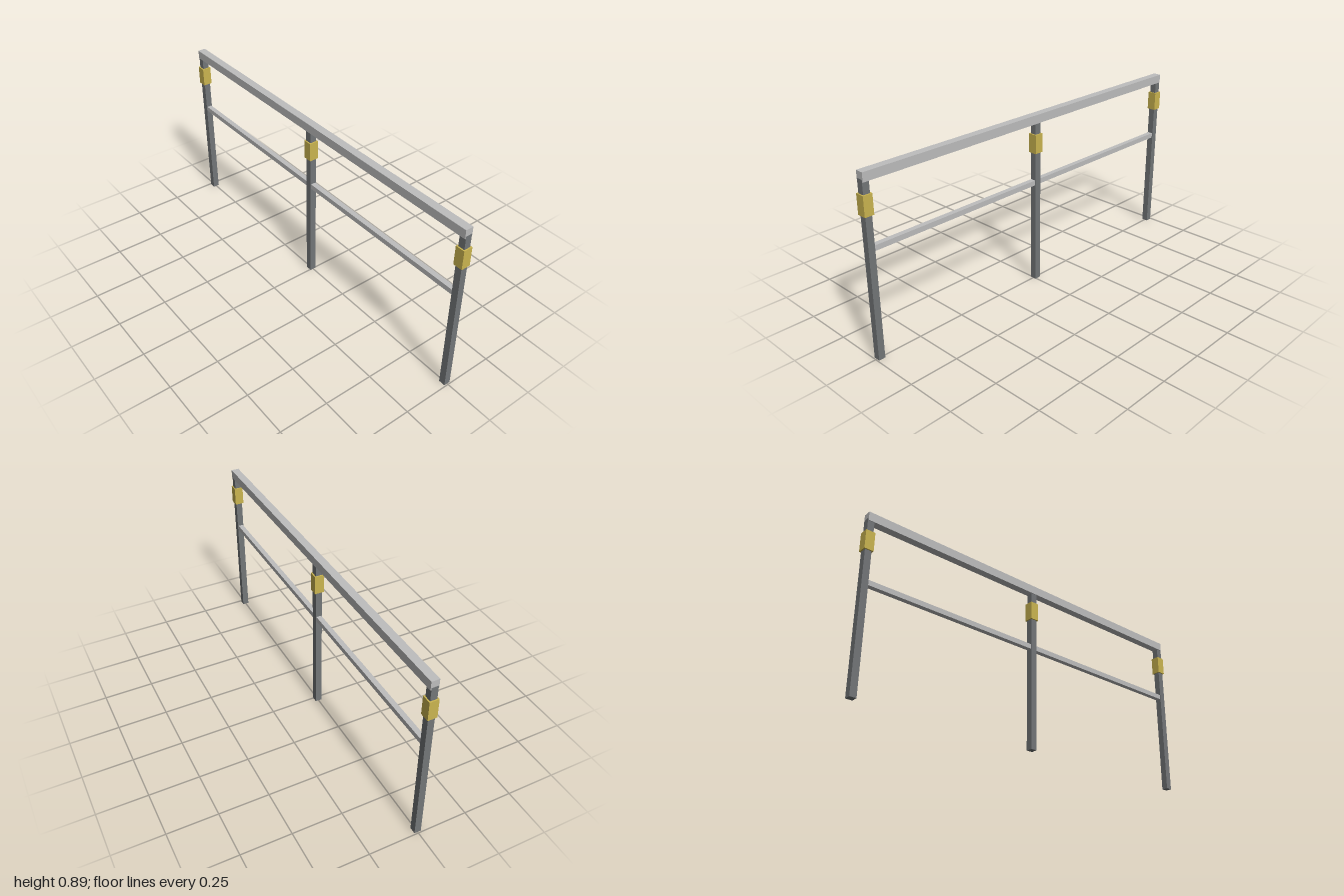
import * as THREE from 'three';

export function createModel() {
  const group = new THREE.Group();
  group.name = 'railing';

  const material = (name, color) => {
    const m = new THREE.MeshStandardMaterial({ color });
    m.name = name;
    return m;
  };
  const lightSteel = material('light steel', 0xbebebe);
  const darkSteel = material('dark steel', 0x737678);
  const yellow = material('yellow', 0xcbb550);

  // Box given by its centre x, bottom and top heights, length in x and depth in z
  const addBox = (name, mat, x, bottom, top, width, depth) => {
    const mesh = new THREE.Mesh(new THREE.BoxGeometry(width, top - bottom, depth), mat);
    mesh.name = name;
    mesh.position.set(x, (bottom + top) / 2, 0);
    group.add(mesh);
  };

  // Horizontal rails
  addBox('topRail', lightSteel, 0, 0.846, 0.89, 1.984, 0.04);
  addBox('midRail', lightSteel, 0, 0.527, 0.553, 1.93, 0.026);

  // Posts, slightly proud of the rail ends, each with a yellow sleeve
  const posts = [['right', -0.977], ['middle', -0.012], ['left', 0.977]];
  for (const [side, x] of posts) {
    addBox(side + 'Post', darkSteel, x, 0, 0.857, 0.033, 0.033);
    addBox(side + 'Sleeve', yellow, x, 0.695, 0.791, 0.046, 0.046);
  }
  return group;
}
